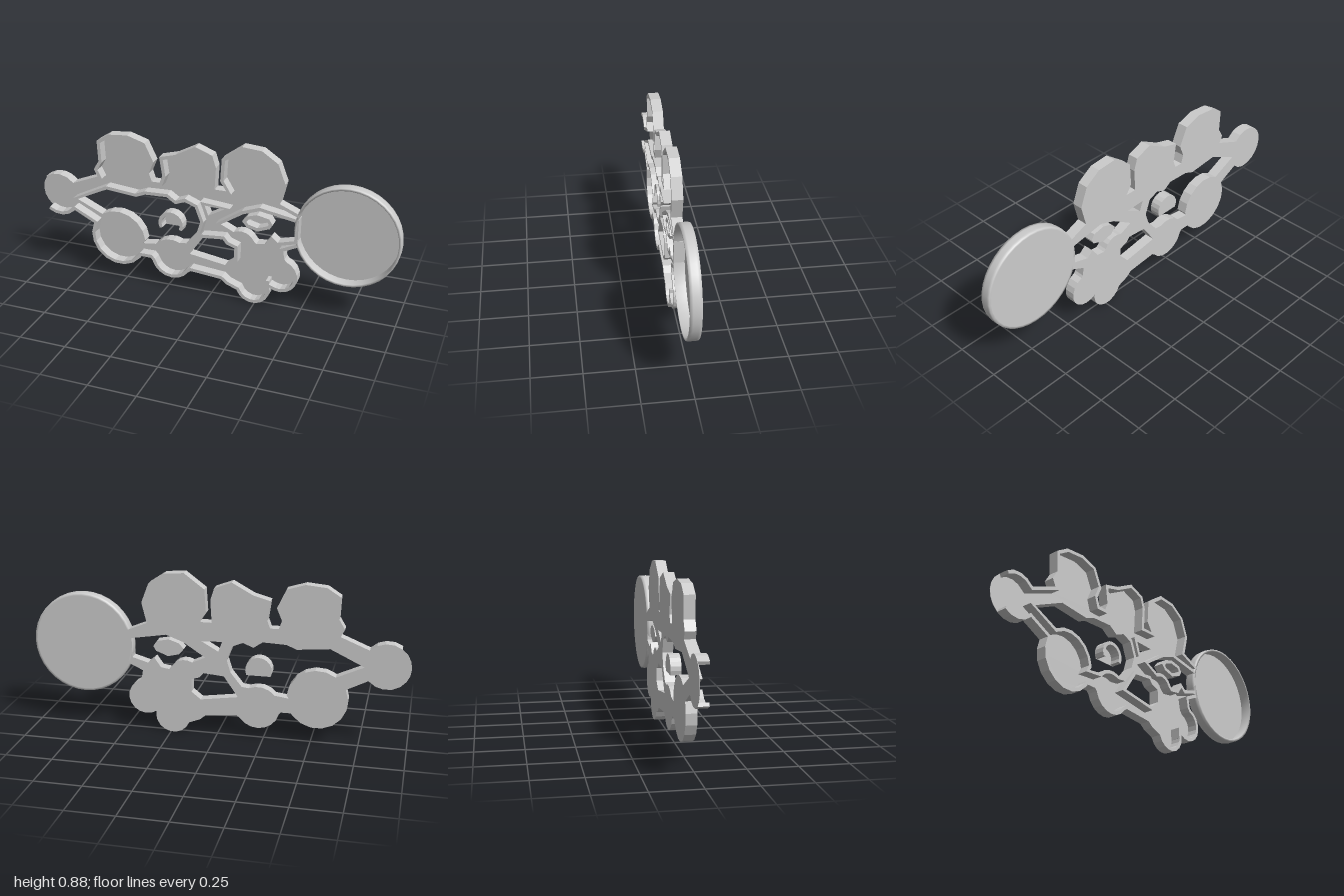
import * as THREE from 'three';

const HALF = 0.028, FLOOR = 0.002, WALL = 0.018;

// Outlines run clockwise, in hundredths of a unit.
// Entries of two numbers are corners; five are arcs: cx, cy, radius, from, to (degrees).
function trace(entries) {
  const pts = [];
  for (const e of entries) {
    if (e.length === 2) { pts.push(new THREE.Vector2(e[0] / 100, e[1] / 100)); continue; }
    const [cx, cy, r, a, b] = e;
    const n = Math.max(2, Math.round(Math.abs(b - a) / 20));
    for (let i = 0; i <= n; i++) {
      const t = THREE.MathUtils.degToRad(a + (b - a) * i / n);
      pts.push(new THREE.Vector2((cx + r * Math.cos(t)) / 100, (cy + r * Math.sin(t)) / 100));
    }
  }
  return pts;
}

// Mitred offset: positive moves a clockwise outline inward
function offset(pts, w, open) {
  const n = pts.length;
  const normal = (i) => {
    const a = pts[(i + n) % n], b = pts[(i + 1) % n];
    return new THREE.Vector2(b.y - a.y, a.x - b.x).normalize();
  };
  return pts.map((p, i) => {
    const n0 = normal(open && i === 0 ? 0 : i - 1);
    const n1 = normal(open && i === n - 1 ? i - 1 : i);
    const m = n0.clone().add(n1).normalize();
    return p.clone().addScaledVector(m, w / Math.max(0.6, m.dot(n1)));
  });
}

const flat = () => new THREE.MeshStandardMaterial({ color: 0xcccccc, flatShading: true });

// Clockwise outline with clockwise holes; holes are reversed so their sides face the opening
function slab(name, outline, holes, depth) {
  const shape = new THREE.Shape(outline);
  for (const h of holes) shape.holes.push(new THREE.Path([...h].reverse()));
  const geo = new THREE.ExtrudeGeometry(shape, { depth, bevelEnabled: false });
  geo.translate(0, 0, -HALF);
  const mesh = new THREE.Mesh(geo, flat());
  mesh.name = name;
  return mesh;
}

// Upright walls, always on the material side of the outline
const closedWall = (name, pts) => slab(name, pts, [offset(pts, WALL, false)], HALF * 2);
const holeWall = (name, pts) => slab(name, offset(pts, -WALL, false), [pts], HALF * 2);
const openWall = (name, pts) => slab(name, [...pts, ...offset(pts, WALL, true).reverse()], [], HALF * 2);

// Right lobes and bottom edge, from the dish to the left end
const LOWER_EDGE = [
  [47.5, 37.5], [40, 34], [40.8, 29.5],
  [38.4, 19.2, 9.6, 70, -125],
  [23.8, 9.4, 9.4, 0, -160],
  [9, 8.5], [6, 11], [-11, 12.5],
  [-22.2, 18, 11.6, -35, -165],
  [-34.5, 16.3], [-39.8, 16.3],
  [-53.2, 25, 16, -38, -205],
  [-88, 45.7, 12.2, -42, -125],
];

// Part of the left end that has no wall
const LEFT_END = [[-88, 45.7, 12.2, -145, -215]];

// Three upper lobes, from the left end back to the dish
const UPPER_EDGE = [
  [-88, 45.7, 12.2, -235, -318],
  [-64, 60], [-66, 64], [-63, 69], [-63.5, 80.5], [-56.5, 85], [-45.7, 86], [-36, 83], [-31.3, 73],
  [-34, 66.5], [-32.5, 62], [-28, 62], [-26.5, 66], [-28, 76.5], [-19, 79], [-8, 85], [1.2, 81.5],
  [3.2, 75], [2.5, 63], [8.8, 63], [5.5, 68], [6.3, 80.5], [17, 88.5], [27.5, 87.7], [36, 82],
  [40, 71.5], [37.3, 60.5], [48, 56],
];

const HOLES = {
  largeOpening: [
    [-76.7, 44.7], [-59, 53.2], [-42, 51.6], [-36.6, 53.8], [-24.3, 54.3], [-19.5, 51], [-14, 53.2],
    [-8.5, 51], [-5.5, 43], [-7.5, 36.5], [-13.5, 29],
    [-22.2, 18, 11.6, 65, 140], [-38.5, 24.5],
    [-53.2, 25, 16, 5, 125],
  ],
  triangularOpening: [[-3, 53], [8, 52.6], [-1, 47.5]],
  rightOpening: [
    [6, 43.7], [18, 51.5], [27, 54.8], [45.8, 51.6], [45.6, 41], [37, 38.5], [33.5, 41.5],
    [30, 36.5], [25.5, 35.8],
    [17, 33.5, 8, 25, 120],
  ],
  lowerOpening: [[-4, 34], [7, 35], [9, 32.5], [13.5, 31], [13.5, 24], [8.5, 20], [-11.5, 23]],
};

const ARCH_ISLAND = [[-22.3, 38.7, 7, 205, -25]];
const RIGHT_ISLAND = [
  [17.5, 47.5], [20, 50.5], [25.5, 52.3], [32, 51], [34, 48], [32.5, 45.5], [26, 43], [20, 44.5],
];

function island(name, pts, makeWall) {
  const group = new THREE.Group();
  group.name = name;
  group.add(slab('islandFloor', pts, [], FLOOR), makeWall('islandWall', pts));
  return group;
}

export function createModel() {
  const model = new THREE.Group();
  model.name = 'tray';

  // Flat back with its openings, and the walls round the outside
  const holes = Object.entries(HOLES).map(([name, e]) => [name, trace(e)]);
  const outline = trace([...LOWER_EDGE, ...LEFT_END, ...UPPER_EDGE]);
  model.add(slab('trayFloor', outline, holes.map((h) => h[1]), FLOOR));
  model.add(openWall('lowerWall', trace(LOWER_EDGE)), openWall('upperWall', trace(UPPER_EDGE)));
  for (const [name, pts] of holes) model.add(holeWall(name + 'Wall', pts));

  // Small separate trays inside the openings
  model.add(island('archIsland', trace(ARCH_ISLAND), openWall));
  model.add(island('rightIsland', trace(RIGHT_ISLAND), closedWall));

  // Short divider between the two lowest lobes
  const divider = new THREE.Mesh(new THREE.BoxGeometry(WALL, 0.06, HALF * 2), flat());
  divider.name = 'lobeDivider';
  divider.position.set(0.32, 0.12, 0);
  model.add(divider);

  // Round dish: softly rounded rim with a thin floor at the back
  const dish = new THREE.Group();
  dish.name = 'roundDish';
  const smooth = new THREE.MeshStandardMaterial({ color: 0xcccccc });
  const profile = [
    [0.26, -HALF], [0.272, -HALF], [0.274, -HALF / 2], [0.274, HALF / 2], [0.272, HALF],
    [0.26, HALF], [0.26, -HALF],
  ];
  const rim = new THREE.Mesh(new THREE.LatheGeometry(profile.map((p) => new THREE.Vector2(...p)), 36), smooth);
  rim.name = 'dishRim';
  const floor = new THREE.Mesh(new THREE.CylinderGeometry(0.262, 0.262, FLOOR, 36), smooth);
  floor.name = 'dishFloor';
  floor.position.y = -HALF + FLOOR / 2;
  dish.add(rim, floor);
  dish.rotation.x = Math.PI / 2;
  dish.position.set(0.726, 0.471, 0);
  model.add(dish);

  return model;
}
